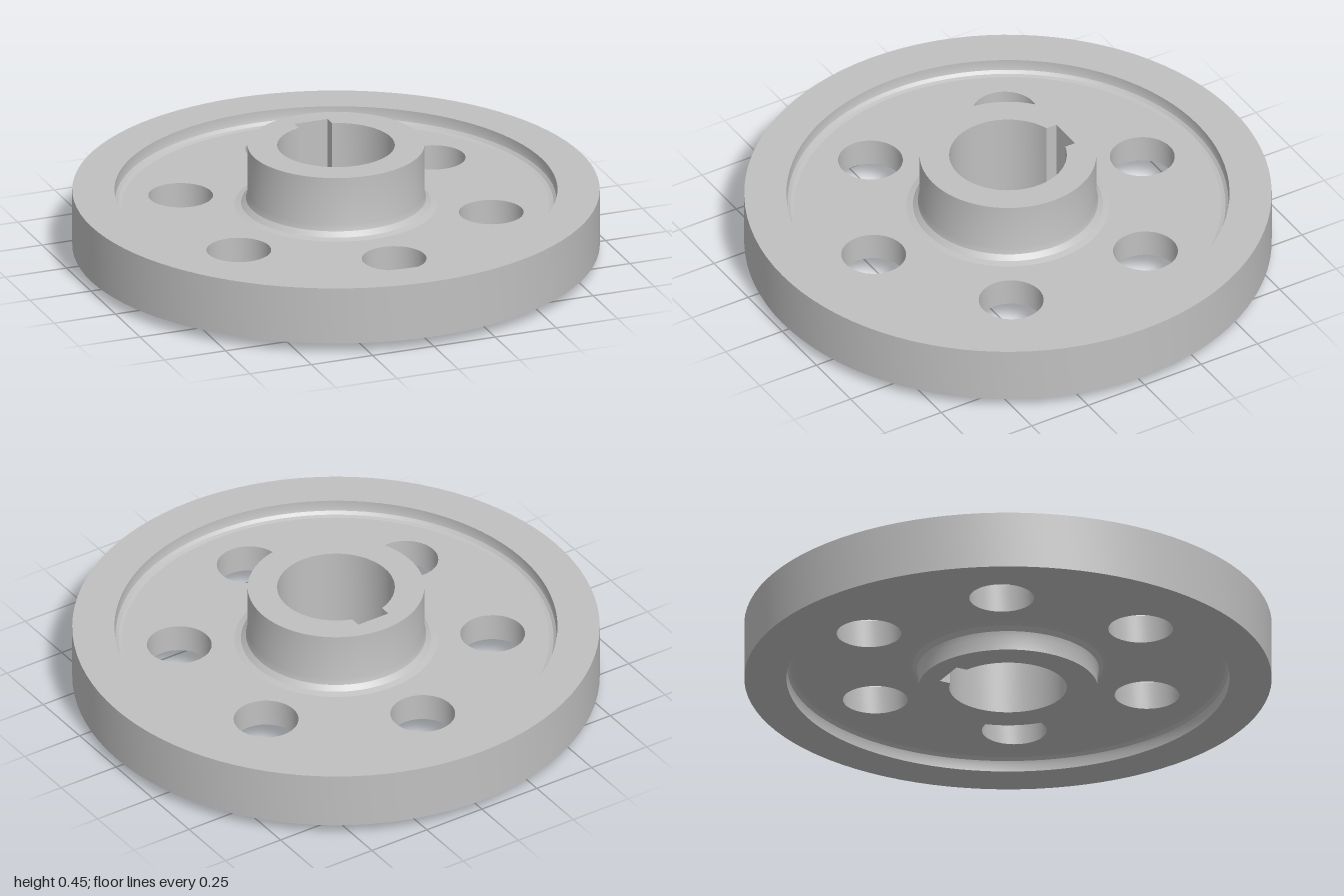
import * as THREE from 'three';
import { mergeGeometries, toCreasedNormals } from 'three/addons/utils/BufferGeometryUtils.js';

const SEG = 96;
const WEB_LOW = 0.097, WEB_HIGH = 0.207; // web faces
const HUB_TOP = 0.447;

// Counter-clockwise circle of points in plan (plan y points to -z)
function circle(r, n, cx = 0, cy = 0) {
  return Array.from({ length: n }, (_, i) => {
    const a = (i / n) * Math.PI * 2;
    return new THREE.Vector2(cx + r * Math.cos(a), cy + r * Math.sin(a));
  });
}

// Round bore with a square keyway at the back
function boreOutline() {
  const r = 0.223, half = 0.068, depth = 0.256, n = 84;
  const a0 = Math.acos(half / r), start = Math.PI - a0, end = Math.PI * 2 + a0;
  const pts = [];
  for (let i = 0; i <= n; i++) {
    const a = start + ((end - start) * i) / n;
    pts.push(new THREE.Vector2(r * Math.cos(a), r * Math.sin(a)));
  }
  pts.push(new THREE.Vector2(half, depth), new THREE.Vector2(-half, depth));
  return pts;
}

// Flat horizontal face with openings, facing up or down
function face(outline, holes, y, up) {
  const shape = new THREE.Shape(outline);
  shape.holes = holes.map((h) => new THREE.Path(h));
  const g = new THREE.ShapeGeometry(shape).rotateX(-Math.PI / 2).translate(0, y, 0);
  if (!up) {
    g.index.array.reverse();
    g.computeVertexNormals();
  }
  return g.toNonIndexed();
}

// Inward-facing wall of an opening
function wall(pts, y0, y1) {
  const pos = [];
  pts.forEach((a, i) => {
    const b = pts[(i + 1) % pts.length];
    pos.push(a.x, y0, -a.y, b.x, y1, -b.y, b.x, y0, -b.y);
    pos.push(a.x, y0, -a.y, a.x, y1, -a.y, b.x, y1, -b.y);
  });
  const g = new THREE.BufferGeometry();
  g.setAttribute('position', new THREE.Float32BufferAttribute(pos, 3));
  return toCreasedNormals(g, 0.5);
}

// Quarter-round fillet points about a centre
function fillet(cx, cy, r, from, to) {
  return [0, 1, 2, 3].map((i) => {
    const a = THREE.MathUtils.degToRad(from + ((to - from) * i) / 3);
    return [cx + r * Math.cos(a), cy + r * Math.sin(a)];
  });
}

function turned(profile) {
  const g = new THREE.LatheGeometry(profile.map((p) => new THREE.Vector2(...p)), SEG);
  return toCreasedNormals(g, 0.4);
}

function merged(list) {
  list.forEach((g) => g.deleteAttribute('uv'));
  return mergeGeometries(list);
}

export function createModel() {
  const group = new THREE.Group();
  const steel = new THREE.MeshStandardMaterial({ color: 0xc0c0c0 });
  steel.name = 'steel grey';
  const add = (name, geometry) => {
    const mesh = new THREE.Mesh(geometry, steel);
    mesh.name = name;
    group.add(mesh);
  };

  // Rim with filleted recesses on both sides
  add('rim', turned([
    ...fillet(0.81, WEB_LOW - 0.03, 0.03, 90, 0),
    [0.84, 0.04], [1, 0.04], [1, 0.265], [0.84, 0.265],
    ...fillet(0.81, WEB_HIGH + 0.03, 0.03, 0, -90),
  ]));

  // Web with six round openings
  const holes = Array.from({ length: 6 }, (_, i) => {
    const a = Math.PI / 6 + (i * Math.PI) / 3;
    return circle(0.123, 40, 0.595 * Math.cos(a), 0.595 * Math.sin(a));
  });
  const openings = [circle(0.385, SEG), ...holes];
  add('web', merged([
    face(circle(0.81, SEG), openings, WEB_HIGH, true),
    face(circle(0.81, SEG), openings, WEB_LOW, false),
  ]));
  add('webHoles', merged(holes.map((h) => wall(h, WEB_LOW, WEB_HIGH))));

  // Hub sides, flaring into the web
  add('upperHub', turned([
    ...fillet(0.385, WEB_HIGH + 0.05, 0.05, 270, 180),
    [0.335, HUB_TOP],
  ]));
  add('lowerHub', turned([
    [0.34, 0],
    ...fillet(0.385, WEB_LOW - 0.045, 0.045, 180, 90),
  ]));

  // Hub ends and the keyed bore
  const bore = boreOutline();
  add('hubEnds', merged([
    face(circle(0.335, SEG), [bore], HUB_TOP, true),
    face(circle(0.34, SEG), [bore], 0, false),
  ]));
  add('keyedBore', wall(bore, 0, HUB_TOP));

  return group;
}
